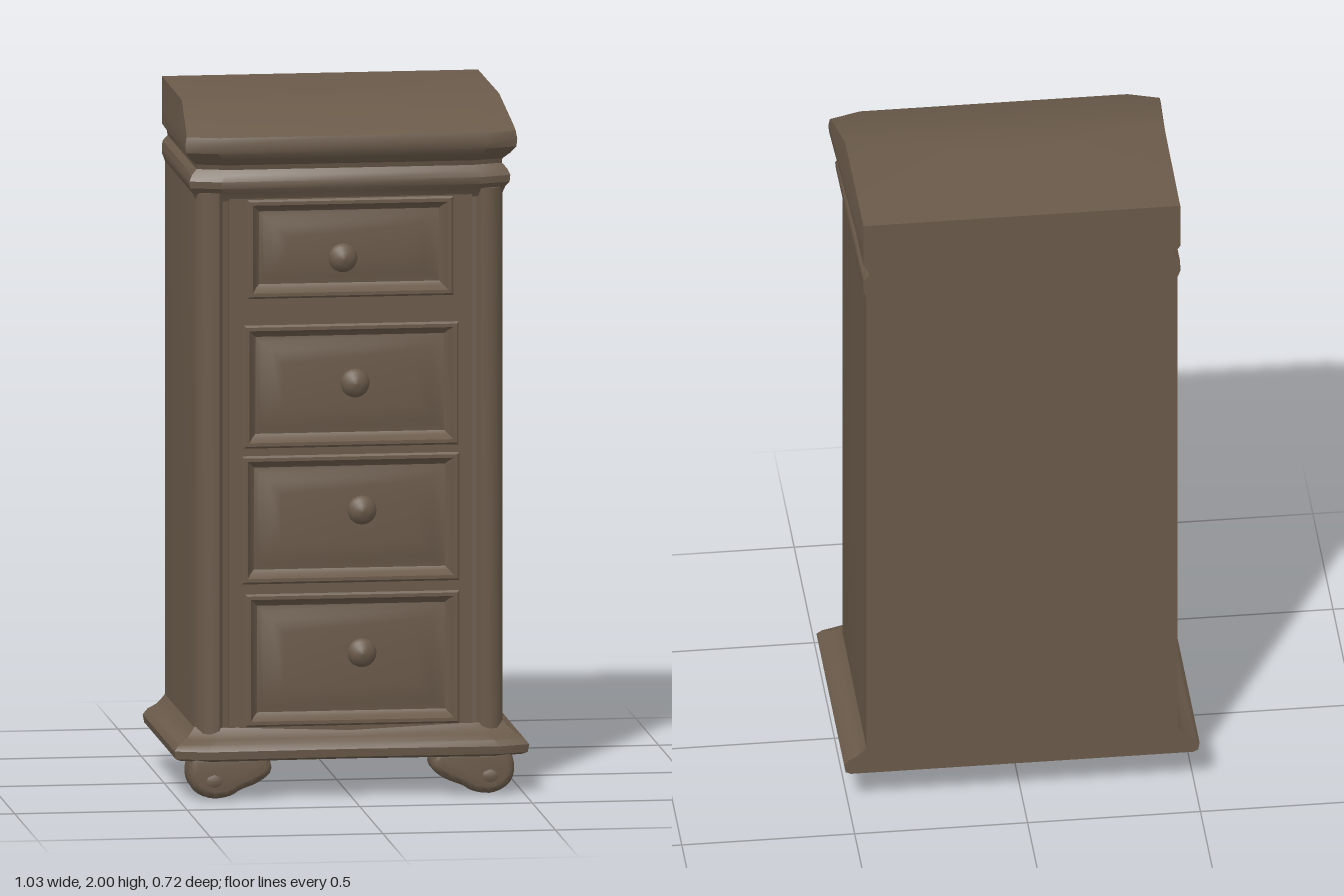
import * as THREE from 'three';
import { toCreasedNormals } from 'three/addons/utils/BufferGeometryUtils.js';

const BACK = -0.36;

// Skin a list of rings (arrays of [x, y, z]); the last ring is always capped.
function loft(rings, capStart = true) {
  const n = rings[0].length;
  const pos = rings.flat(2);
  const idx = [];
  for (let i = 0; i < rings.length - 1; i++) {
    for (let j = 0; j < n; j++) {
      const a = i * n + j, b = i * n + ((j + 1) % n);
      idx.push(a, b, b + n, a, b + n, a + n);
    }
  }
  const cap = (r, flip) => {
    const c = [0, 1, 2].map(k => rings[r].reduce((s, p) => s + p[k], 0) / n);
    const ci = pos.length / 3;
    pos.push(...c);
    for (let j = 0; j < n; j++) {
      const a = r * n + j, b = r * n + ((j + 1) % n);
      idx.push(...(flip ? [ci, b, a] : [ci, a, b]));
    }
  };
  if (capStart) cap(0, true);
  cap(rings.length - 1, false);
  const g = new THREE.BufferGeometry();
  g.setAttribute('position', new THREE.Float32BufferAttribute(pos, 3));
  g.setIndex(idx);
  return toCreasedNormals(g, 0.6);
}

// Plan outline with clipped front corners and a flat back.
function plan(y, w, front, wBack = w, dip = 0) {
  return [
    [-wBack, y, BACK], [-w, y, front - 0.03], [-w + 0.09, y, front], [0, y, front - dip],
    [w - 0.09, y, front], [w, y, front - 0.03], [wBack, y, BACK],
  ];
}

// Rectangle in the front plane, inset by d.
const rect = ([x0, x1, y0, y1], d, z) => [
  [x0 + d, y0 + d, z], [x1 - d, y0 + d, z], [x1 - d, y1 - d, z], [x0 + d, y1 - d, z],
];

export function createModel() {
  const model = new THREE.Group();
  const wood = new THREE.MeshStandardMaterial({ color: 0x6a5a4a });
  wood.name = 'brown wood';
  const add = (name, geometry, parent = model) => {
    const mesh = new THREE.Mesh(geometry, wood);
    mesh.name = name;
    parent.add(mesh);
    return mesh;
  };

  // Carcass with rounded corner posts, each set off by a groove
  const half = [[0.45, BACK], [0.449, 0.24], [0.442, 0.27], [0.425, 0.292], [0.405, 0.3],
    [0.38, 0.298], [0.368, 0.28], [0.345, 0.276], [0.335, 0.25]];
  const outline = [...half, ...half.map(([x, z]) => [-x, z]).reverse()];
  const carcassShape = new THREE.Shape(outline.map(([x, z]) => new THREE.Vector2(x, -z)));
  const carcass = new THREE.ExtrudeGeometry(carcassShape, { depth: 1.62, bevelEnabled: false });
  carcass.rotateX(-Math.PI / 2).translate(0, 0.14, 0);
  add('carcass', toCreasedNormals(carcass, 0.8));

  // Drawers: [x0, x1, y0, y1] and knob position
  const drawers = [
    { box: [-0.295, 0.295, 1.455, 1.735], knob: [-0.025, 1.57] },
    { box: [-0.305, 0.31, 1.02, 1.37], knob: [0.01, 1.205] },
    { box: [-0.31, 0.312, 0.625, 0.99], knob: [0.03, 0.835] },
    { box: [-0.3, 0.312, 0.21, 0.588], knob: [0.03, 0.42] },
  ];

  // Front frame with drawer openings
  const frame = new THREE.Shape(rect([-0.352, 0.352, 0.17, 1.76], 0, 0).map(p => new THREE.Vector2(p[0], p[1])));
  for (const { box } of drawers) {
    frame.holes.push(new THREE.Path(rect(box, 0, 0).reverse().map(p => new THREE.Vector2(p[0], p[1]))));
  }
  const frameGeo = new THREE.ExtrudeGeometry(frame, { depth: 0.05, bevelEnabled: false });
  add('frontFrame', frameGeo.translate(0, 0, 0.245));

  // Knob turned from a profile
  const knobProfile = [[0.014, -0.03], [0.016, 0], [0.03, 0.004], [0.041, 0.015], [0.042, 0.027],
    [0.034, 0.042], [0.018, 0.052], [0, 0.055]].map(p => new THREE.Vector2(...p));
  const knobGeo = new THREE.LatheGeometry(knobProfile, 20).rotateX(Math.PI / 2);

  drawers.forEach(({ box, knob }, i) => {
    const drawer = new THREE.Group();
    drawer.name = `drawer${i + 1}`;
    // Beaded rim, recess and gently raised panel
    const steps = [[-0.006, 0.293], [0.002, 0.301], [0.012, 0.301], [0.024, 0.275], [0.034, 0.266],
      [0.05, 0.269], [0.075, 0.28], [0.11, 0.284]];
    add('drawerPanel', loft(steps.map(([d, z]) => rect(box, d, z)), false), drawer);
    add('knob', knobGeo, drawer).position.set(knob[0], knob[1], 0.297);
    model.add(drawer);
  });

  // Base moulding
  add('baseMoulding', loft([
    [0.115, 0.495, 0.345], [0.122, 0.51, 0.357], [0.145, 0.514, 0.36], [0.162, 0.5, 0.35],
    [0.175, 0.475, 0.325], [0.19, 0.46, 0.308], [0.205, 0.448, 0.296],
  ].map(([y, w, f]) => plan(y, w, f, w, 0.012))));

  // Cornice: lower bead, cove and sloping lid
  add('cornice', loft([
    [1.735, 0.443, 0.292], [1.76, 0.452, 0.302], [1.775, 0.463, 0.314], [1.795, 0.465, 0.316],
    [1.812, 0.457, 0.308], [1.828, 0.442, 0.298], [1.842, 0.444, 0.302], [1.862, 0.464, 0.328],
    [1.882, 0.479, 0.344], [1.905, 0.481, 0.347], [1.928, 0.477, 0.342], [1.942, 0.474, 0.31],
    [2, 0.46, 0.11],
  ].map(([y, w, f]) => plan(y, w, f, Math.min(w, 0.458)))));

  // Scrolled front feet, mirrored
  const footPoints = [[0.25, 0.125], [0.24, 0.085], [0.275, 0.055], [0.325, 0.035], [0.355, 0.018],
    [0.405, 0.012], [0.45, 0.035], [0.465, 0.075], [0.455, 0.125]];
  for (const side of [1, -1]) {
    const foot = new THREE.Group();
    foot.name = side > 0 ? 'leftFoot' : 'rightFoot';
    const pts = footPoints.map(([x, y]) => new THREE.Vector2(side * x, y));
    const shape = new THREE.Shape(new THREE.SplineCurve(pts).getPoints(28));
    const geo = new THREE.ExtrudeGeometry(shape, {
      depth: 0.08, bevelThickness: 0.03, bevelSize: 0.022, bevelOffset: -0.014, bevelSegments: 4,
    });
    add('footBlock', toCreasedNormals(geo.translate(0, 0, 0.232), 0.9), foot);
    // Rounded toe on the outer part
    const toe = add('toe', new THREE.SphereGeometry(1, 20, 14), foot);
    toe.scale.set(0.066, 0.056, 0.075);
    toe.position.set(side * 0.4, 0.057, 0.272);
    model.add(foot);
  }
  return model;
}
